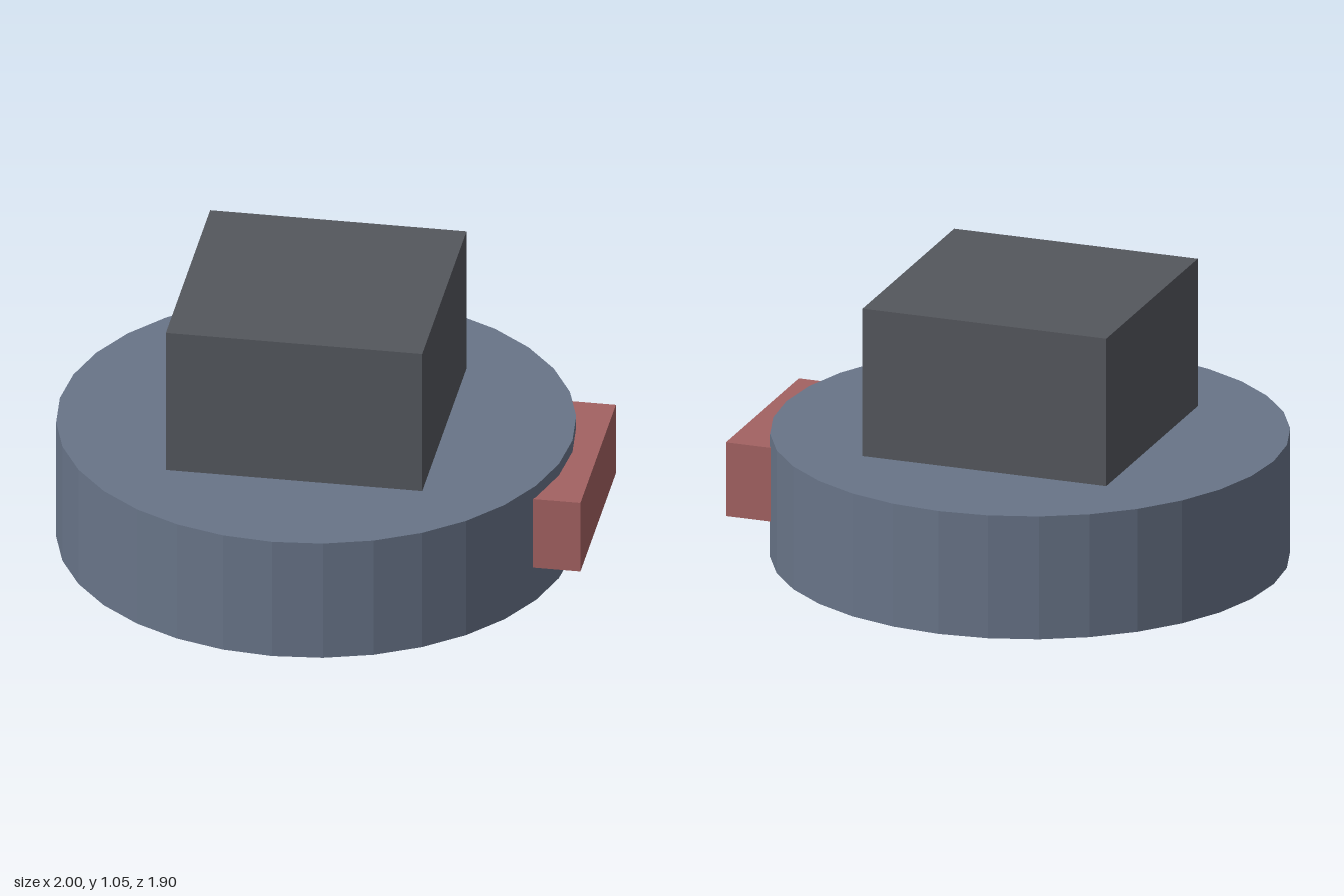
import * as THREE from 'three';

export function createModel() {
  const model = new THREE.Group();
  const s = 2 / 2.1; // base radius; other sizes are proportions of it
  const cx = -0.05 * s;

  function add(name, geometry, color, x, y) {
    const material = new THREE.MeshStandardMaterial({ color, flatShading: true });
    const mesh = new THREE.Mesh(geometry, material);
    mesh.name = name;
    mesh.position.set(x, y, 0);
    model.add(mesh);
  }

  // Round base drum
  add('base', new THREE.CylinderGeometry(s, s, 0.5 * s, 32), 0x687488, cx, 0.25 * s);
  // Square block on top
  add('topBlock', new THREE.BoxGeometry(s, 0.6 * s, s), 0x54575d, cx, 0.8 * s);
  // Red bar set into the left side of the base
  add('sideBar', new THREE.BoxGeometry(0.2 * s, 0.3 * s, 0.8 * s), 0xa36262, cx + s, 0.3 * s);

  return model;
}
